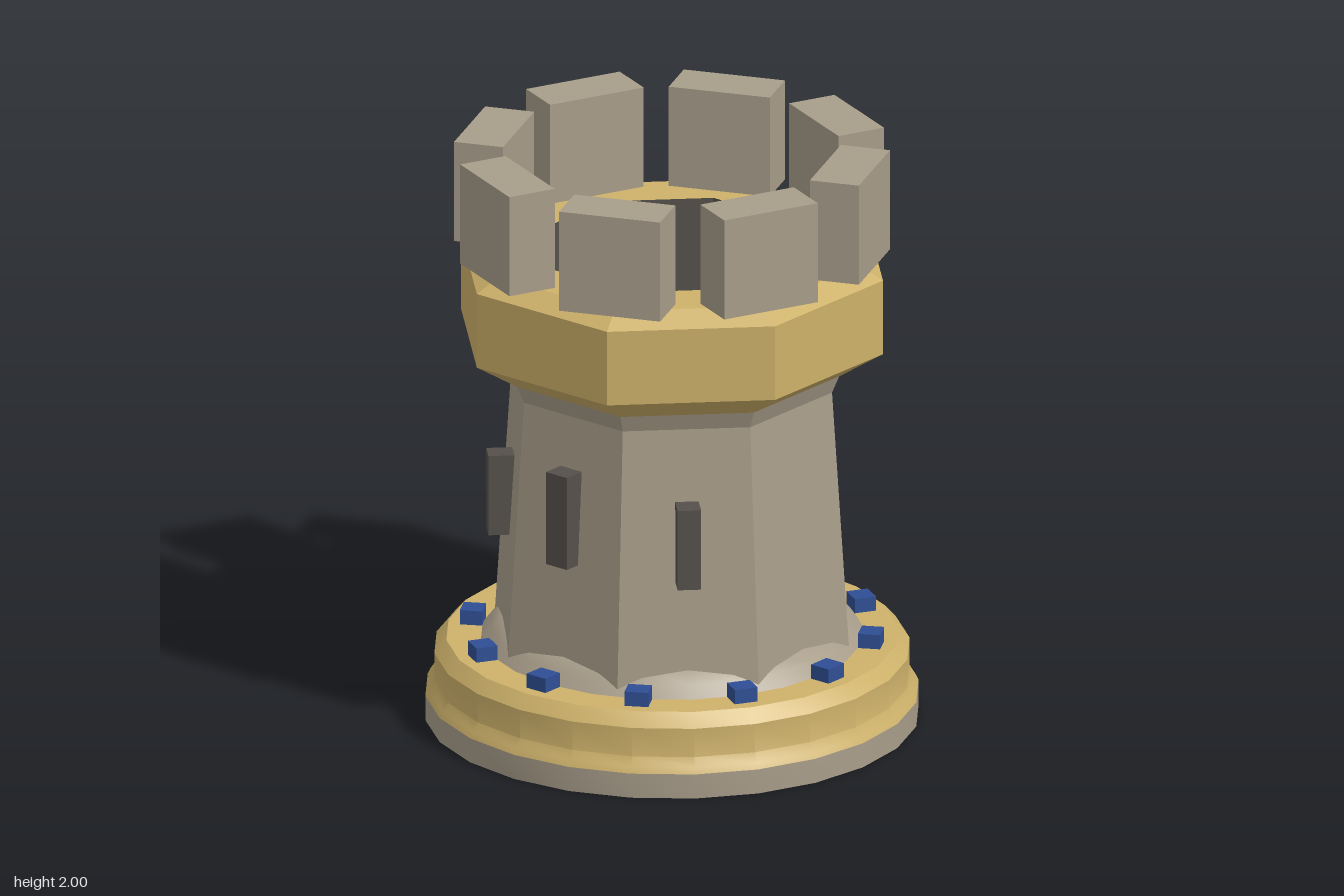
import * as THREE from 'three';
import { toCreasedNormals } from 'three/addons/utils/BufferGeometryUtils.js';

const OCT = 1 / Math.cos(Math.PI / 8); // apothem to corner radius

export function createModel() {
  const tower = new THREE.Group();
  tower.name = 'tower';

  const mat = (name, color) => {
    const m = new THREE.MeshStandardMaterial({ color });
    m.name = name;
    return m;
  };
  const stone = mat('stone', 0xa89d8a);
  const gold = mat('gold', 0xcdb16a);
  const dark = mat('dark', 0x55504b);
  const blue = mat('blue', 0x2f4f94);

  const add = (name, geometry, material) => {
    const mesh = new THREE.Mesh(geometry, material);
    mesh.name = name;
    tower.add(mesh);
    return mesh;
  };

  // Turned part with a round plan
  const round = (name, profile, material) => add(name, toCreasedNormals(
    new THREE.LatheGeometry(profile.map(([r, y]) => new THREE.Vector2(r, y)), 24), 0.63), material);

  // Turned part with an octagonal plan; radii are measured to the flat sides
  const octagon = (name, profile, material) => add(name, toCreasedNormals(
    new THREE.LatheGeometry(profile.map(([r, y]) => new THREE.Vector2(r * OCT, y)), 8, Math.PI / 8), 0.3), material);

  // Box set at an angle around the tower axis
  const boxAt = (name, [w, h, d], radius, y, angle, material) => {
    const mesh = add(name, new THREE.BoxGeometry(w, h, d), material);
    mesh.position.set(Math.sin(angle) * radius, y, Math.cos(angle) * radius);
    mesh.rotation.y = angle;
  };

  // Round base
  round('plinth', [[0, 0], [0.82, 0], [0.82, 0.085]], stone);
  round('baseMoulding', [[0.82, 0.085], [0.81, 0.105], [0.79, 0.135], [0.79, 0.235], [0.75, 0.28], [0.5, 0.28]], gold);
  round('shaftSkirt', [[0.635, 0.28], [0.6, 0.32], [0.56, 0.36], [0.5, 0.37]], stone);

  // Tapered shaft with a small flare under the collar
  octagon('shaft', [[0.568, 0.27], [0.512, 1.19], [0.535, 1.25]], stone);

  // Collar and the sunken floor inside it
  octagon('collar', [[0.5, 1.25], [0.535, 1.25], [0.675, 1.345], [0.675, 1.605], [0.6, 1.65], [0.43, 1.65]], gold);
  octagon('well', [[0.43, 1.65], [0.424, 1.32], [0, 1.32]], dark);

  // Battlements
  for (let i = 0; i < 8; i++) {
    boxAt('merlon', [0.35, 0.35, 0.17], 0.616, 1.825, (i + 0.5) * Math.PI / 4, stone);
  }

  // Studs around the base
  for (let i = 0; i < 12; i++) {
    boxAt('stud', [0.08, 0.06, 0.075], 0.668, 0.3, i * Math.PI / 6, blue);
  }

  // Window slits on the three front sides
  boxAt('window', [0.09, 0.325, 0.12], 0.54, 0.848, 0, dark);
  for (const side of [-1, 1]) {
    boxAt('window', [0.078, 0.28, 0.12], 0.554, 0.8, side * Math.PI / 4, dark);
  }

  return tower;
}
